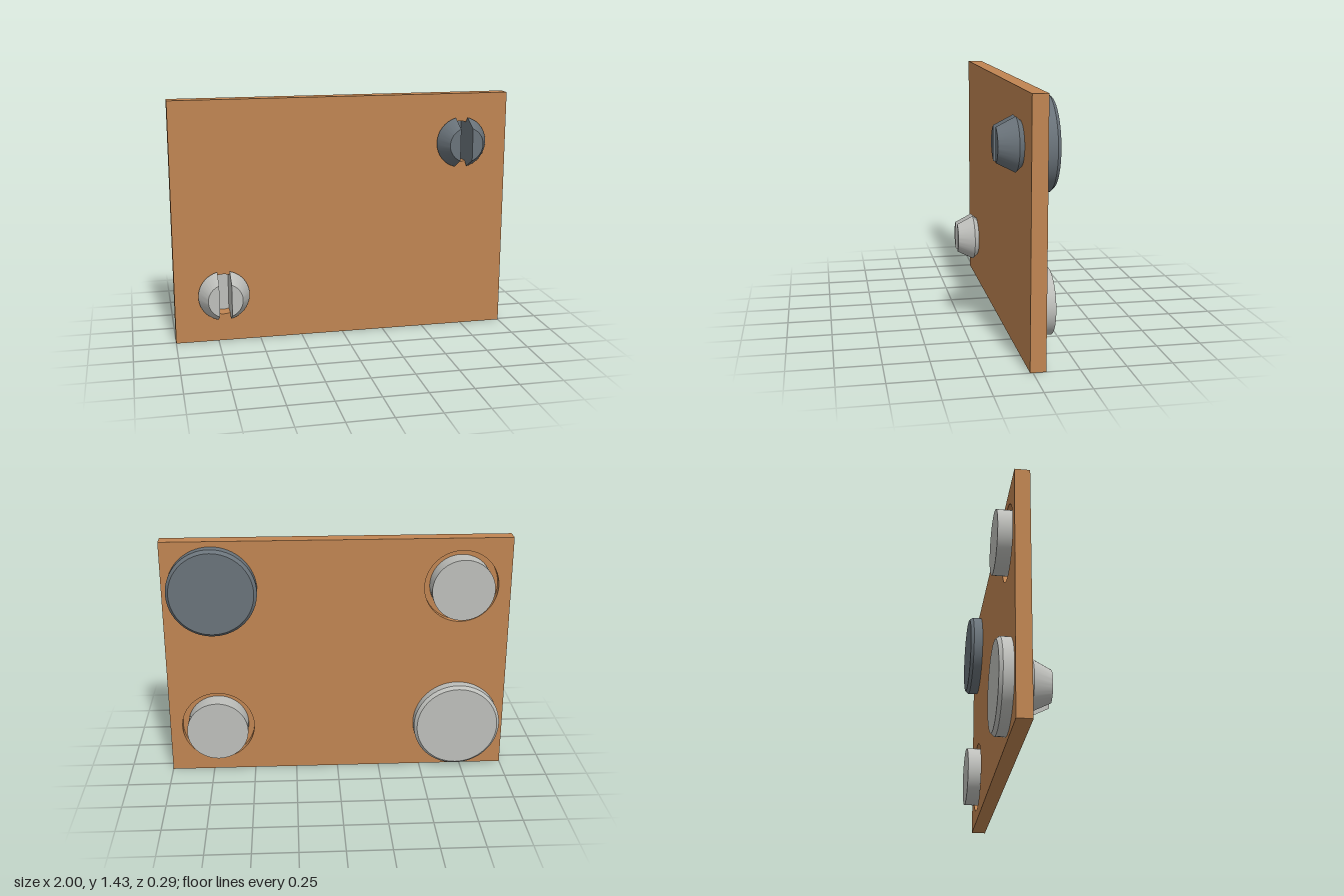
import * as THREE from 'three';
import { toCreasedNormals } from 'three/addons/utils/BufferGeometryUtils.js';

const W = 2, H = 1.43;
const FRONT = 0.015, FLOOR = -0.03, BACK = -0.07, END = -0.145;
const CX = 0.714, LOW = 0.286, HIGH = 1.143;
const STEM = 0.122, SLOT = 0.036;

const material = (name, color) => {
  const m = new THREE.MeshStandardMaterial({ color });
  m.name = name;
  return m;
};

// one layer of the board, pierced by round holes [x, y, radius]
function layerGeometry(z0, z1, holes) {
  const shape = new THREE.Shape();
  shape.moveTo(-W / 2, 0).lineTo(W / 2, 0).lineTo(W / 2, H).lineTo(-W / 2, H).closePath();
  for (const [x, y, r] of holes) {
    shape.holes.push(new THREE.Path().absarc(x, y, r, 0, Math.PI * 2, true));
  }
  const g = new THREE.ExtrudeGeometry(shape, { depth: z1 - z0, bevelEnabled: false, curveSegments: 64 });
  return toCreasedNormals(g.translate(0, 0, z0), 0.5);
}

// solid of revolution about z; profile is [radius, z] from front to back
function turnedGeometry(profile) {
  const pts = profile.map(([r, z]) => new THREE.Vector2(r, -z));
  const g = new THREE.LatheGeometry(pts, 64).rotateX(-Math.PI / 2);
  return toCreasedNormals(g, 0.4);
}

// +x half of the split clip: arcs cut off by the slot plane, lofted along z
function prongGeometry() {
  const rings = [[BACK, STEM], [FRONT, STEM], [0.045, 0.15], [0.148, 0.1]];
  const N = 32, pos = [], index = [];
  for (const [z, r] of rings) {
    const a = Math.acos(SLOT / r);
    for (let i = 0; i <= N; i++) {
      const t = -a + (2 * a * i) / N;
      pos.push(r * Math.cos(t), r * Math.sin(t), z);
    }
  }
  const n = N + 1;
  for (let k = 0; k < rings.length - 1; k++) {
    for (let i = 0; i < n; i++) {
      const j = (i + 1) % n; // the last step closes along the slot wall
      const a = k * n + i, b = k * n + j;
      index.push(a, b, b + n, a, b + n, a + n);
    }
  }
  // front cap
  const top = (rings.length - 1) * n;
  for (let i = 1; i < N; i++) index.push(top, top + i, top + i + 1);
  const g = new THREE.BufferGeometry();
  g.setAttribute('position', new THREE.Float32BufferAttribute(pos, 3));
  g.setIndex(index);
  g.computeVertexNormals();
  return toCreasedNormals(g, 0.4);
}

export function createModel() {
  const model = new THREE.Group();
  model.name = 'boardWithButtons';
  const brown = material('brown board', 0xc08552);
  const light = material('light grey', 0xbebfbb);
  const dark = material('dark grey', 0x6a737a);

  const add = (parent, name, geometry, mat) => {
    const mesh = new THREE.Mesh(geometry, mat);
    mesh.name = name;
    parent.add(mesh);
    return mesh;
  };

  // board: pierced front layer, back layer with wider round recesses
  const stems = [[CX, HIGH, STEM], [-CX, LOW, STEM]];
  const recesses = [[CX, LOW, 0.214], [-CX, HIGH, 0.214]];
  const board = new THREE.Group();
  board.name = 'board';
  model.add(board);
  add(board, 'boardFront', layerGeometry(FLOOR, FRONT, stems), brown);
  add(board, 'boardBack', layerGeometry(BACK, FLOOR, [...stems, ...recesses]), brown);

  // buttons: chamfered disc behind, split snap clip in front
  const disc = turnedGeometry([[0, BACK], [0.257, BACK], [0.257, -0.126], [0.24, END], [0, END]]);
  const prong = prongGeometry();
  for (const [name, x, y, mat] of [['darkButton', CX, HIGH, dark], ['lightButton', -CX, LOW, light]]) {
    const button = new THREE.Group();
    button.name = name;
    button.position.set(x, y, 0);
    add(button, 'buttonDisc', disc, mat);
    add(button, 'leftProng', prong, mat);
    add(button, 'rightProng', prong, mat).rotation.z = Math.PI;
    model.add(button);
  }

  // plain discs seated in the recesses
  const plug = turnedGeometry([[0, FLOOR], [0.18, FLOOR], [0.18, END], [0, END]]);
  for (const [name, x, y] of [['leftPlug', CX, LOW], ['rightPlug', -CX, HIGH]]) {
    add(model, name, plug, light).position.set(x, y, 0);
  }
  return model;
}
